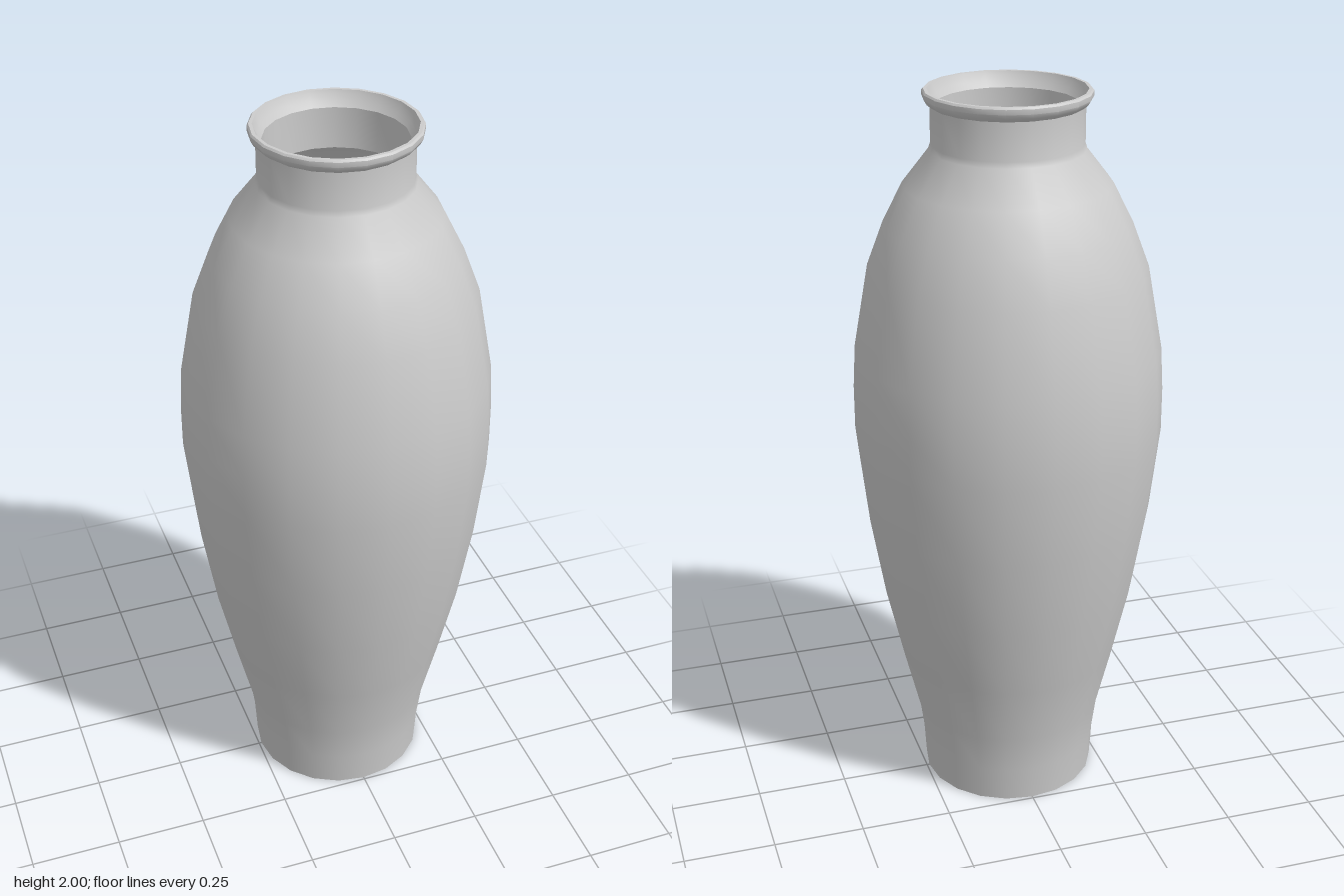
import * as THREE from 'three';
import { toCreasedNormals } from 'three/addons/utils/BufferGeometryUtils.js';

const SIDES = 20;

export function createModel() {
  const model = new THREE.Group();
  model.name = 'vase';
  const material = new THREE.MeshStandardMaterial({ color: 0xcccccc });

  // Revolves [radius, height] pairs, keeping the sharp profile edges
  function turn(name, profile) {
    const points = profile.map(([r, y]) => new THREE.Vector2(r, y));
    const geometry = toCreasedNormals(new THREE.LatheGeometry(points, SIDES), 0.6);
    const mesh = new THREE.Mesh(geometry, material);
    mesh.name = name;
    model.add(mesh);
  }

  // Flat underside
  turn('base', [[0, 0], [0.243, 0]]);

  // Tapered belly, shoulder and straight neck
  turn('outerWall', [
    [0.243, 0], [0.249, 0.1], [0.264, 0.21], [0.308, 0.39], [0.356, 0.6],
    [0.395, 0.83], [0.421, 1.06], [0.421, 1.18], [0.414, 1.3], [0.373, 1.53],
    [0.328, 1.65], [0.275, 1.755], [0.205, 1.845], [0.2, 1.86], [0.2, 1.96],
  ]);

  // Flared lip
  turn('rim', [
    [0.2, 1.96], [0.213, 1.97], [0.22, 1.982], [0.22, 1.995], [0.216, 2],
    [0.207, 2], [0.203, 1.99], [0.195, 1.975], [0.185, 1.96],
  ]);

  // Hollow inside, from the neck down to the floor
  turn('innerWall', [
    [0.185, 1.96], [0.184, 1.85], [0.26, 1.745], [0.312, 1.64], [0.357, 1.52],
    [0.397, 1.3], [0.404, 1.18], [0.404, 1.06], [0.378, 0.83], [0.339, 0.6],
    [0.291, 0.39], [0.247, 0.21], [0.232, 0.1], [0.227, 0.03],
  ]);
  turn('floor', [[0.227, 0.03], [0, 0.03]]);

  return model;
}
